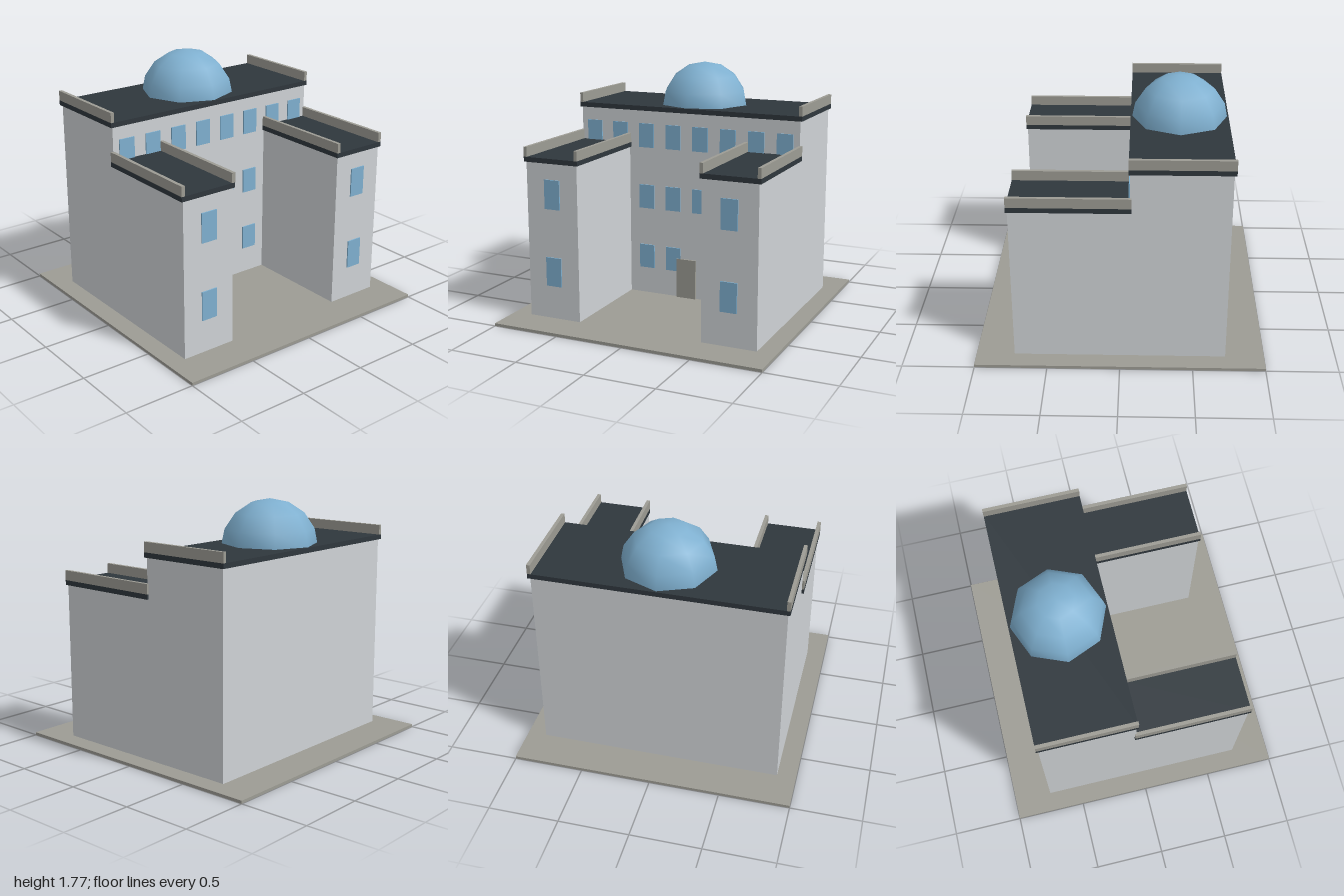
import * as THREE from 'three';

const mat = (name, color) => {
  const m = new THREE.MeshStandardMaterial({ color });
  m.name = name;
  return m;
};

export function createModel() {
  const model = new THREE.Group();
  model.name = 'domedBuilding';
  const wall = mat('wall grey', 0xcfd3d6);
  const stone = mat('stone grey', 0x9d9c94);
  const roof = mat('roof slate', 0x2f373d);
  const glass = mat('glass blue', 0x7fb0d0);

  // Box given by its extents on each axis
  const box = (name, material, x0, x1, y0, y1, z0, z1) => {
    const mesh = new THREE.Mesh(new THREE.BoxGeometry(x1 - x0, y1 - y0, z1 - z0), material);
    mesh.position.set((x0 + x1) / 2, (y0 + y1) / 2, (z0 + z1) / 2);
    mesh.name = name;
    model.add(mesh);
  };

  // Ground slab and main block
  box('groundSlab', stone, -1, 1, 0, 0.02, -1, 1);
  box('mainBlock', wall, -0.865, 0.865, 0.02, 1.425, -0.73, -0.065);
  box('mainRoof', roof, -0.88, 0.88, 1.425, 1.46, -0.745, -0.055);

  // Parapet running front to back, centred on x
  const parapet = (name, x, y, z0, z1) =>
    box(name, stone, x - 0.0125, x + 0.0125, y, y + 0.07, z0, z1);

  for (const s of [-1, 1]) {
    const side = s > 0 ? 'left' : 'right';
    const span = (a, b) => (s > 0 ? [a, b] : [-b, -a]);
    // Wings with overhanging roofs
    box(side + 'Wing', wall, ...span(0.465, 0.865), 0.02, 1.145, -0.065, 0.735);
    box(side + 'WingRoof', roof, ...span(0.455, 0.88), 1.145, 1.18, -0.075, 0.745);
    // Parapets
    parapet(side + 'MainParapet', s * 0.8675, 1.46, -0.745, -0.055);
    parapet(side + 'WingOuterParapet', s * 0.8675, 1.18, -0.075, 0.745);
    parapet(side + 'WingInnerParapet', s * 0.4675, 1.18, -0.075, 0.745);
    // Wing windows
    for (const y of [0.26, 0.82])
      box(side + 'WingWindow', glass, ...span(0.603, 0.723), y, y + 0.21, 0.735, 0.744);
  }

  // Courtyard windows: one row per floor
  const rows = [
    [0.22, [-0.325, -0.108, 0.325]],
    [0.685, [-0.325, -0.108, 0.108, 0.325]],
    [1.15, [-0.757, -0.542, -0.325, -0.108, 0.108, 0.325, 0.542, 0.757]],
  ];
  for (const [y, xs] of rows)
    for (const x of xs)
      box('mainWindow', glass, x - 0.06, x + 0.06, y, y + 0.18, -0.065, -0.056);

  // Entrance door
  box('door', stone, -0.078, 0.078, 0.02, 0.32, -0.065, -0.05);

  // Eight-sided dome
  const dome = new THREE.Mesh(
    new THREE.SphereGeometry(0.34, 8, 4, 0, Math.PI * 2, 0, Math.PI / 2), glass);
  dome.position.set(0, 1.43, -0.4);
  dome.name = 'dome';
  model.add(dome);

  return model;
}
